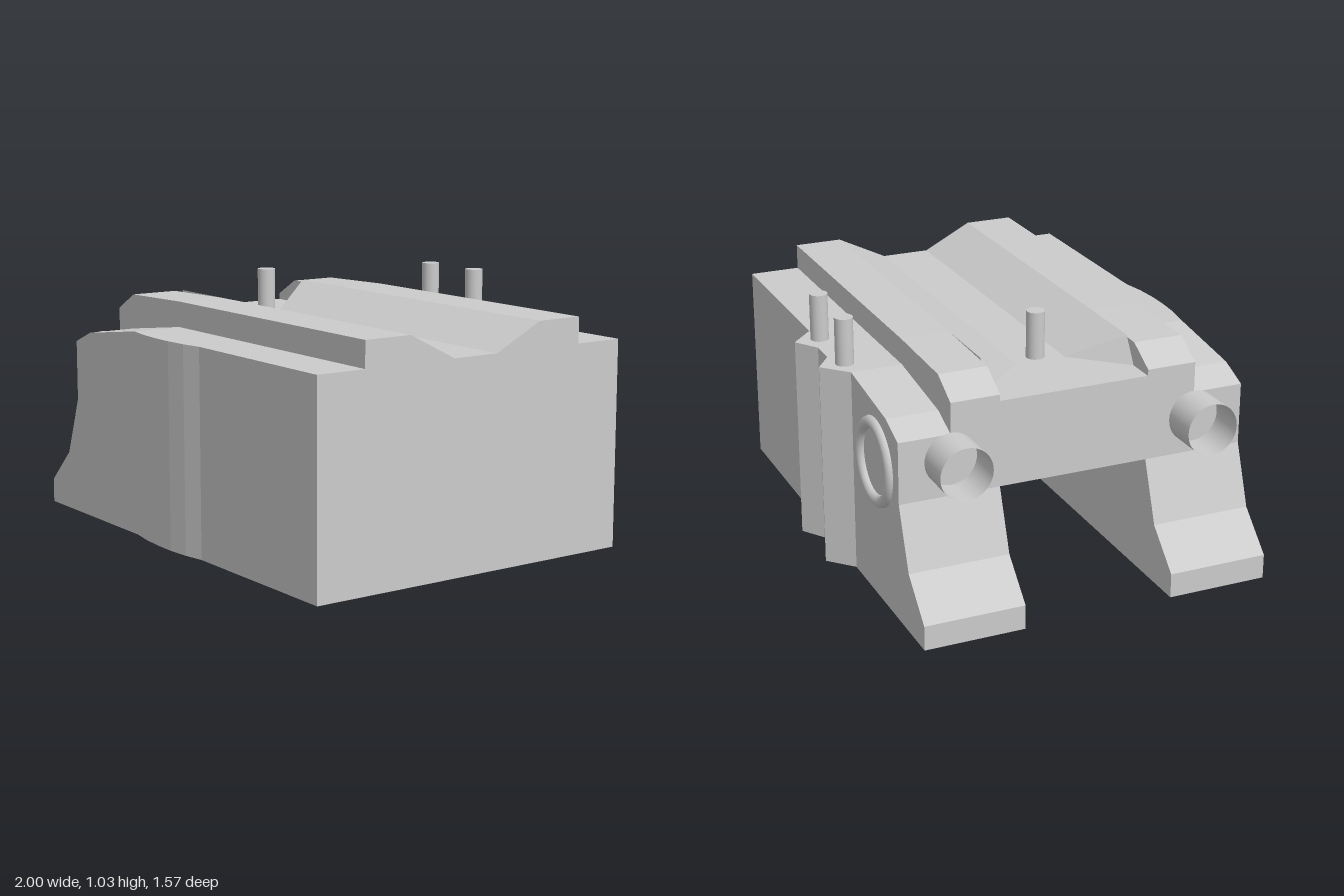
import * as THREE from 'three';
import { ConvexGeometry } from 'three/addons/geometries/ConvexGeometry.js';

export function createModel() {
  const group = new THREE.Group();
  const flat = new THREE.MeshStandardMaterial({ color: 0xcccccc, flatShading: true });
  const smooth = new THREE.MeshStandardMaterial({ color: 0xcccccc });
  const open = new THREE.MeshStandardMaterial({ color: 0xcccccc, side: THREE.DoubleSide });

  const add = (name, geometry, material = flat) => {
    const mesh = new THREE.Mesh(geometry, material);
    mesh.name = name;
    group.add(mesh);
    return mesh;
  };
  const shapeOf = (pts) => new THREE.Shape(pts.map(([x, y]) => new THREE.Vector2(x, y)));

  // Side outline (x, y) pushed from z0 to z1
  const sideExtrude = (pts, z0, z1) =>
    new THREE.ExtrudeGeometry(shapeOf(pts), { depth: z1 - z0, bevelEnabled: false }).translate(0, 0, z0);

  // Plan outline (x, z) raised from the ground to height h
  const planExtrude = (pts, h) =>
    new THREE.ExtrudeGeometry(shapeOf(pts.map(([x, z]) => [x, -z])), { depth: h, bevelEnabled: false })
      .rotateX(-Math.PI / 2);

  const top = 0.84, railTop = 0.945;
  const back = -0.69, front = 0.755;
  const backInner = -0.28, frontInner = 0.34;

  // Side walls with stepped feet and lowered shoulders
  const wall = [[-1, 0], [1, 0], [1, top], [-0.27, top], [-0.64, 0.79], [-0.76, 0.74],
    [-0.76, 0.49], [-0.85, 0.245], [-1, 0.1]];
  add('backSideWall', sideExtrude(wall, back, backInner));
  add('frontSideWall', sideExtrude(wall, frontInner, front));

  // Centre block, hollowed underneath between the feet
  const centre = [[0.235, 0], [1, 0], [1, top], [-0.76, top], [-0.76, 0.49], [0.235, 0.49]];
  add('centreBlock', sideExtrude(centre, backInner, frontInner));

  // Raised rails along the top
  const rail = [[-0.76, 0.74], [-0.64, 0.79], [-0.27, top], [1, top], [1, railTop],
    [-0.27, railTop], [-0.64, 0.935], [-0.76, 0.865]];
  add('backRail', sideExtrude(rail, -0.48, backInner));
  add('frontRail', sideExtrude(rail, frontInner, 0.545));

  // Sloping sides of the valley, tapered at the feet end
  for (const [name, outer, inner] of [['backSlope', backInner, -0.07], ['frontSlope', frontInner, 0.135]]) {
    add(name, new ConvexGeometry([
      [-0.575, railTop, outer], [-0.64, top, outer], [-0.45, top, inner],
      [1, railTop, outer], [1, top, outer], [1, top, inner],
    ].map((p) => new THREE.Vector3(...p))));
  }

  // Gentle bulge on the front, two ribs on the back
  add('frontBulge', planExtrude([[-0.27, front], [-0.17, 0.772], [-0.06, 0.78], [0.03, 0.78],
    [0.13, 0.772], [0.22, front], [0.22, 0.7], [-0.27, 0.7]], top));
  add('backRibs', planExtrude([[-0.27, back], [-0.17, -0.785], [-0.08, -0.72], [0.03, -0.72],
    [0.125, -0.785], [0.225, back], [0.225, -0.65], [-0.27, -0.65]], top));

  // Open pipe stubs
  for (const [name, z] of [['backPipe', -0.48], ['frontPipe', 0.545]]) {
    const pipe = new THREE.CylinderGeometry(0.106, 0.106, 0.155, 32, 1, true).rotateZ(Math.PI / 2);
    add(name, pipe, open).position.set(-0.838, 0.64, z);
  }

  // Ring on the back wall
  add('backRing', new THREE.TorusGeometry(0.155, 0.025, 12, 40), smooth).position.set(-0.525, 0.57, back);

  // Upright pins
  for (const [name, x, z] of [['centrePin', -0.4, 0.03], ['backPinA', -0.17, -0.68], ['backPinB', 0.125, -0.68]]) {
    add(name, new THREE.CylinderGeometry(0.037, 0.037, 0.2, 24), smooth).position.set(x, 0.933, z);
  }

  return group;
}
